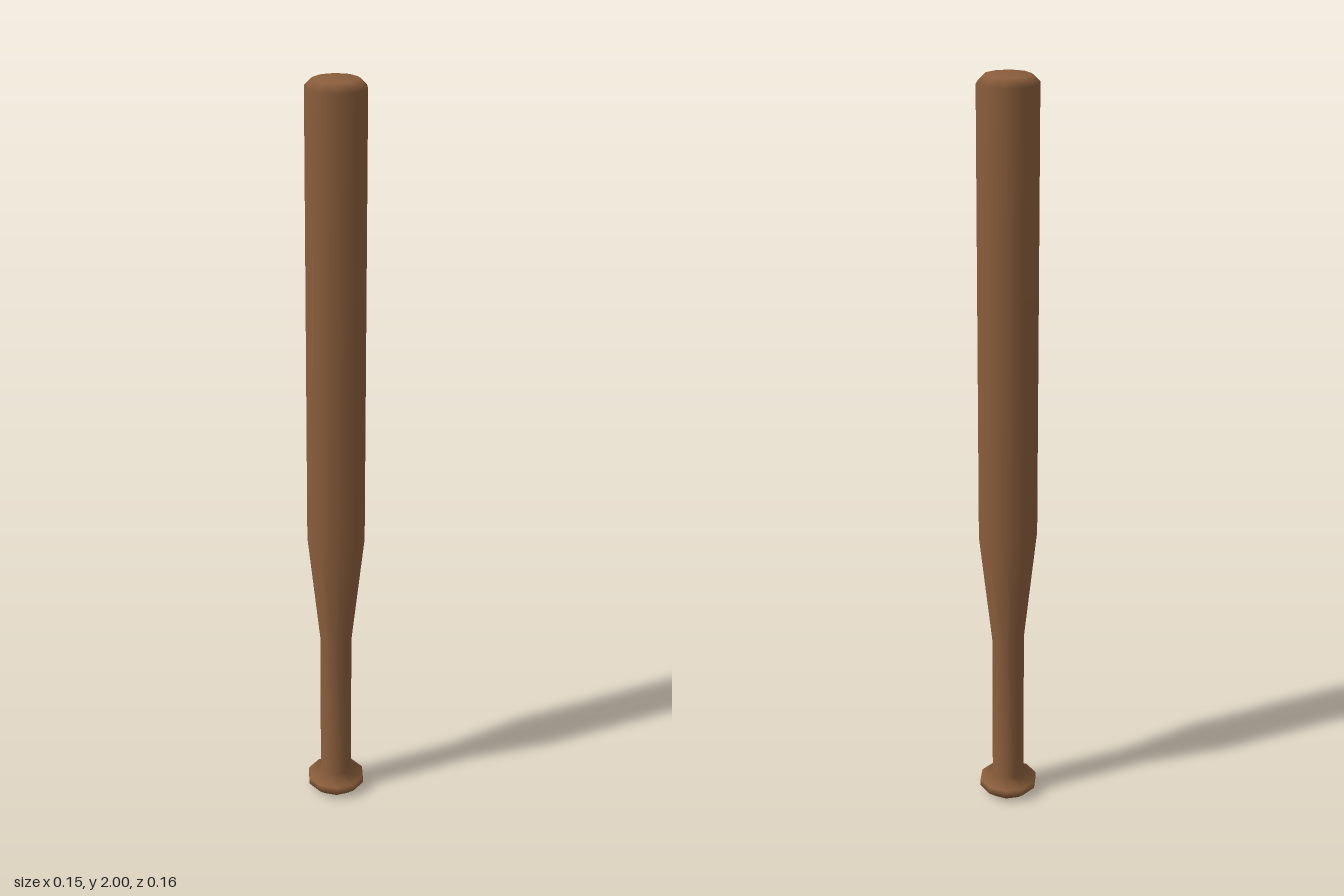
import * as THREE from 'three';

const SIDES = 10;

export function createModel() {
  const group = new THREE.Group();
  group.name = 'bat';

  // Profile as [radius, height], from the underside of the knob to the tip
  const profile = [
    [0, 0], [0.055, 0], [0.079, 0.02], [0.079, 0.04], [0.044, 0.06], // knob
    [0.044, 0.48],                                                   // handle
    [0.079, 0.79], [0.079, 1.98],                                    // taper and barrel
    [0.058, 2], [0, 2],                                              // bevelled tip
  ].map(([r, y]) => new THREE.Vector2(r, y));

  // One continuous turned piece, with corners on the z axis
  const wood = new THREE.MeshStandardMaterial({ color: 0x8b5e3c });
  const body = new THREE.Mesh(new THREE.LatheGeometry(profile, SIDES), wood);
  body.name = 'turnedBody';
  group.add(body);

  return group;
}
